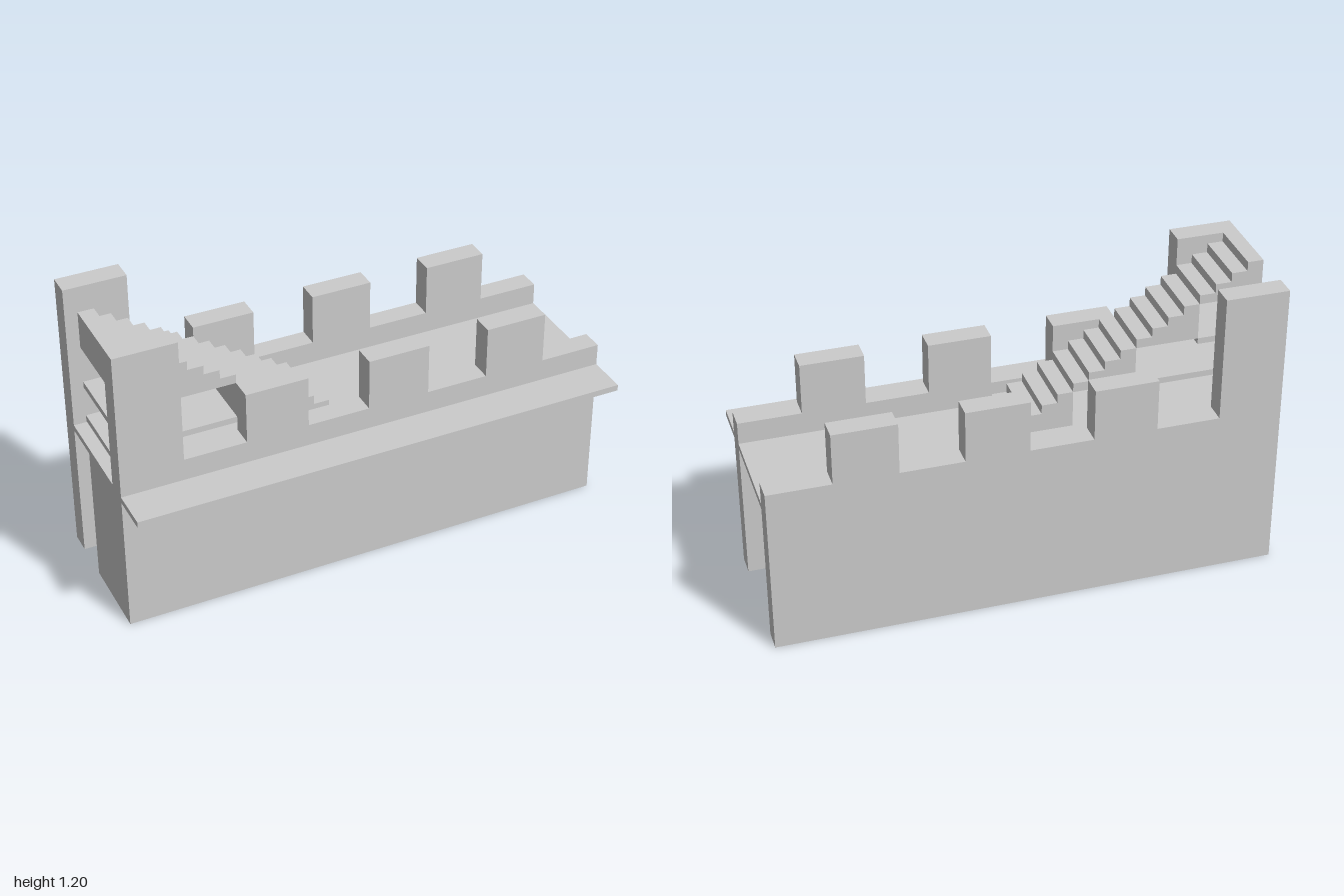
import * as THREE from 'three';

const material = new THREE.MeshStandardMaterial({ color: 0xcccccc, flatShading: true });

export function createModel() {
  const group = new THREE.Group();
  group.name = 'castleWall';

  const add = (name, geometry) => {
    const mesh = new THREE.Mesh(geometry, material);
    mesh.name = name;
    group.add(mesh);
  };

  // Box given by its lower and upper limits
  const box = (name, x0, x1, y0, y1, z0, z1) => {
    const g = new THREE.BoxGeometry(x1 - x0, y1 - y0, z1 - z0);
    g.translate((x0 + x1) / 2, (y0 + y1) / 2, (z0 + z1) / 2);
    add(name, g);
  };

  // Outline in x and y, extruded between two z positions
  const slice = (name, points, z0, z1) => {
    const shape = new THREE.Shape(points.map(([x, y]) => new THREE.Vector2(x, y)));
    const g = new THREE.ExtrudeGeometry(shape, { depth: z1 - z0, bevelEnabled: false });
    g.translate(0, 0, z0);
    add(name, g);
  };

  const bay = 0.25;        // width of each merlon and gap
  const thick = 0.0875;    // wall thickness
  const floorTop = 0.6;
  const slab = 0.025;      // floor thickness
  const stairZ = 0.125;    // half the stair width

  // Crenellated walls: tall tower bay at -x, then gaps and merlons
  const tops = [1.2, 0.69, 0.9, 0.69, 0.9, 0.69, 0.9, 0.69];
  const outline = [[1, 0]];
  for (let i = tops.length - 1; i >= 0; i--) {
    outline.push([-1 + (i + 1) * bay, tops[i]], [-1 + i * bay, tops[i]]);
  }
  outline.push([-1, 0]);
  slice('frontWall', outline, stairZ, stairZ + thick);
  slice('backWall', outline, -0.375, -0.375 + thick);

  // Walkway floor, carried through the front wall as a ledge
  box('walkwayFloor', -1, 1, floorTop - slab, floorTop, -0.375 + thick, 0.375);

  // Supports below the floor, behind the front wall
  for (const x of [-1, 0.75]) {
    box('floorSupport', x, x + thick, 0, floorTop - slab, -stairZ, stairZ);
  }

  // Stair: four blocks of four steps, climbing towards -x
  const run = bay / 4, rise = 0.0375;
  for (let k = 0; k < 4; k++) {
    const x0 = -k * bay, base = floorTop + k * 4 * rise;
    const steps = [[x0, base]];
    for (let i = 0; i < 4; i++) {
      const y = base + (i + 1) * rise;
      steps.push([x0 - i * run, y], [x0 - (i + 1) * run, y]);
    }
    steps.push([x0 - bay, base]);
    slice('stairBlock', steps, -stairZ, stairZ);
  }

  // Landings reaching from the tower end to the stair blocks
  box('lowerLanding', -1, -0.5, 0.75 - slab, 0.75, -stairZ, stairZ);
  box('upperLanding', -1, -0.75, 0.9 - slab, 0.9, -stairZ, stairZ);

  return group;
}
